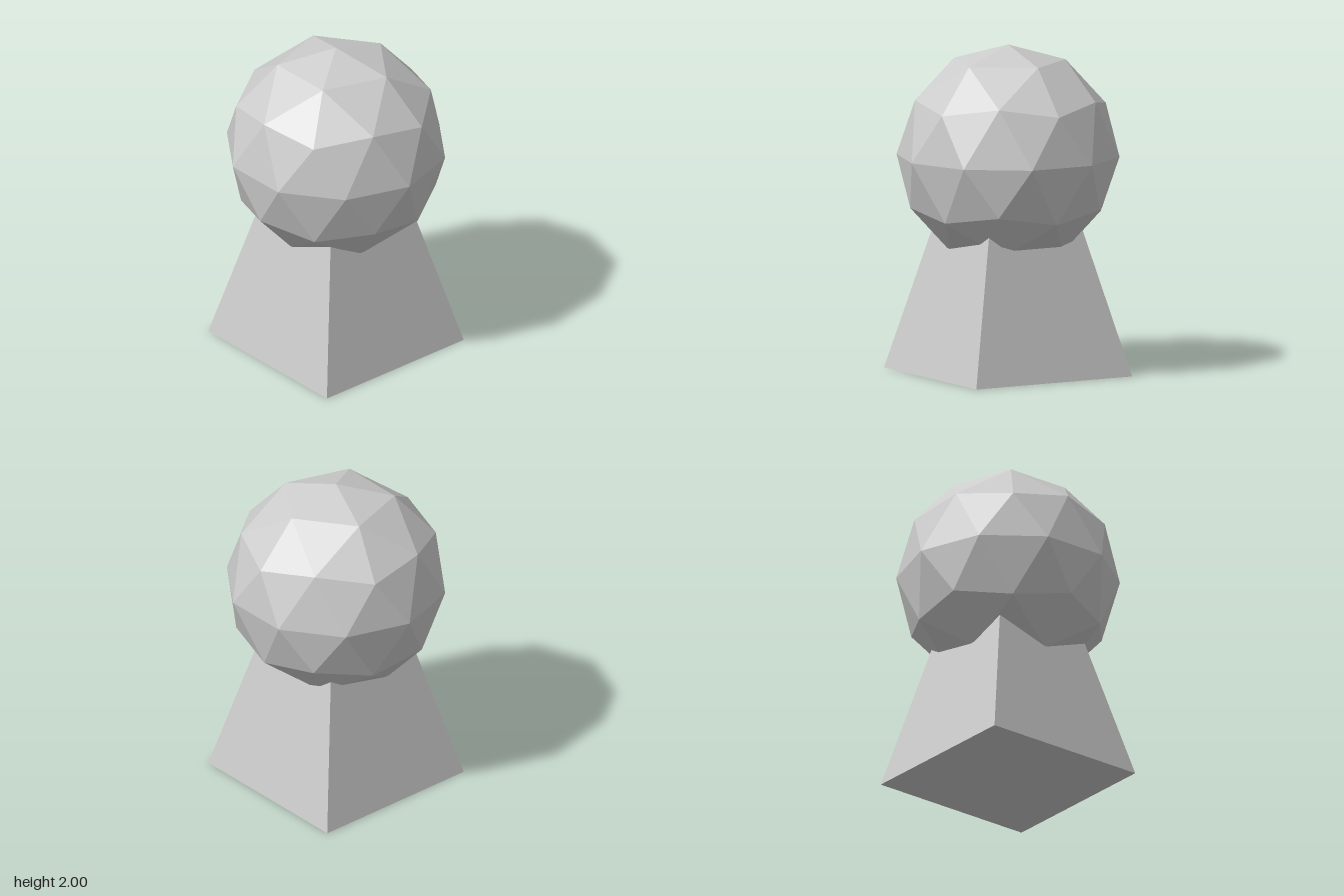
import * as THREE from 'three';

const material = new THREE.MeshStandardMaterial({ color: 0xcccccc, flatShading: true });

export function createModel() {
  const group = new THREE.Group();

  // Tapered square base: a four-sided frustum turned so its faces look along x and z
  const baseHalf = 0.547, topHalf = 0.3, height = 1;
  const baseGeometry = new THREE.CylinderGeometry(topHalf * Math.SQRT2, baseHalf * Math.SQRT2, height, 4);
  baseGeometry.rotateY(Math.PI / 4).translate(0, height / 2, 0);
  const base = new THREE.Mesh(baseGeometry, material);
  base.name = 'base';
  group.add(base);

  // Faceted ball: subdivided icosahedron tipped to stand on one of its corners
  const radius = 0.677;
  const golden = (1 + Math.sqrt(5)) / 2;
  const ballGeometry = new THREE.IcosahedronGeometry(radius, 1);
  ballGeometry.rotateZ(-Math.atan(1 / golden)).translate(0, 2 - radius, 0);
  const ball = new THREE.Mesh(ballGeometry, material);
  ball.name = 'ball';
  group.add(ball);

  return group;
}
